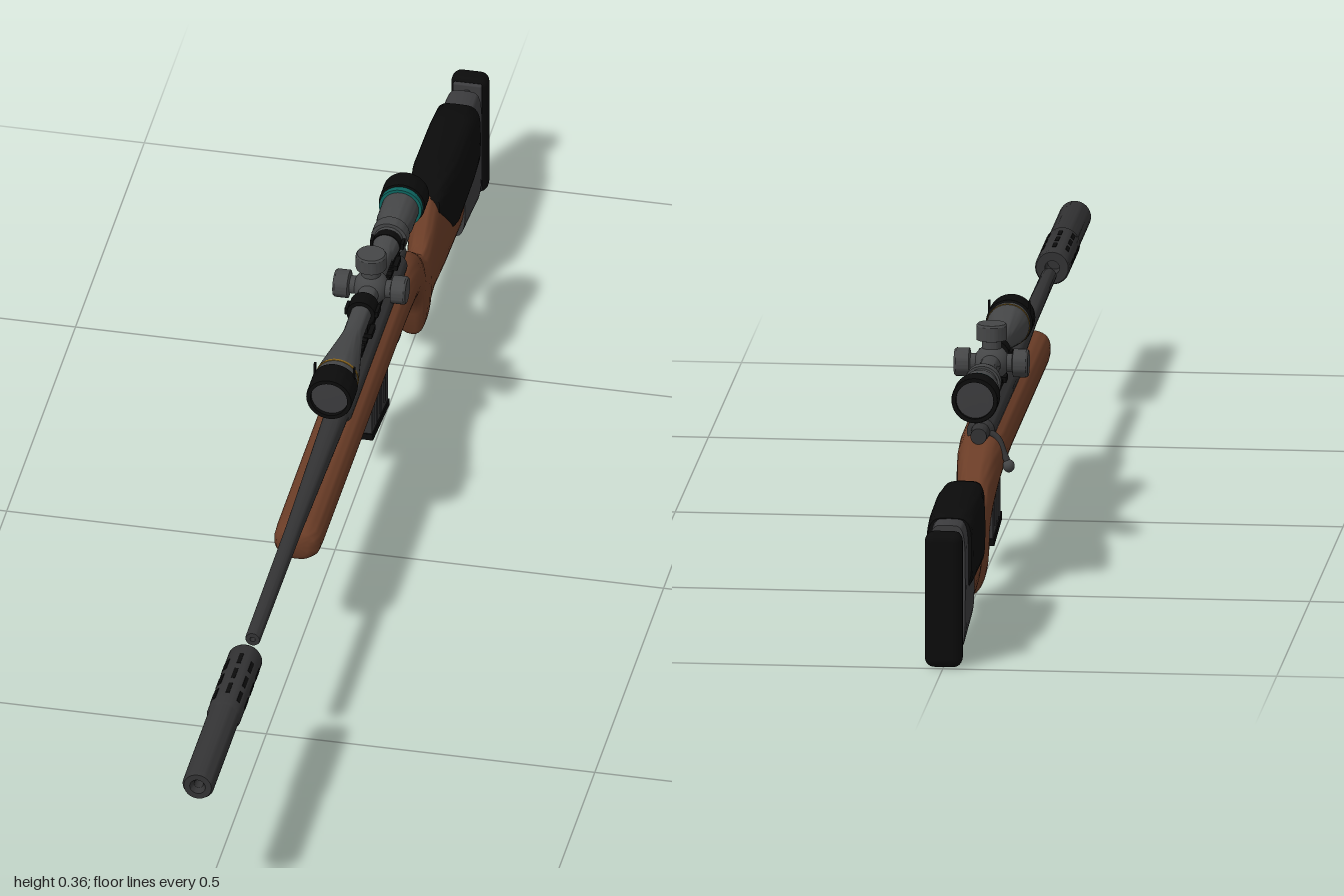
import * as THREE from 'three';
import { toCreasedNormals } from 'three/addons/utils/BufferGeometryUtils.js';
import { RoundedBoxGeometry } from 'three/addons/geometries/RoundedBoxGeometry.js';

const mat = (name, color) => Object.assign(new THREE.MeshStandardMaterial({ color }), { name });
const wood = mat('walnut wood', 0x6b3d27);
const black = mat('black rubber', 0x0b0b0b);
const steel = mat('dark steel', 0x333334);
const grey = mat('scope grey', 0x454647);
const polymer = mat('grey polymer', 0x3c3c3e);
const teal = mat('teal ring', 0x0d6560);
const gold = mat('gold ring', 0x8a651c);

// Closed loft along z; each station is [z, bottom, top, half width]
function loft(stations, power, n = 32) {
  const pos = [], idx = [], last = stations.length - 1;
  const sp = v => Math.sign(v) * Math.pow(Math.abs(v), 2 / power);
  for (const [z, b, t, w] of stations) {
    for (let j = 0; j < n; j++) {
      const a = j / n * Math.PI * 2;
      pos.push(w * sp(Math.cos(a)), (b + t) / 2 + (t - b) / 2 * sp(Math.sin(a)), z);
    }
  }
  for (let i = 0; i < last; i++) {
    for (let j = 0; j < n; j++) {
      const a = i * n + j, b = i * n + (j + 1) % n;
      idx.push(a, a + n, b, b, a + n, b + n);
    }
  }
  for (const i of [0, last]) {
    const [z, b, t] = stations[i], c = pos.length / 3;
    pos.push(0, (b + t) / 2, z);
    for (let j = 0; j < n; j++) {
      const p = i * n + j, q = i * n + (j + 1) % n;
      if (i === 0) idx.push(c, p, q); else idx.push(c, q, p);
    }
  }
  const g = new THREE.BufferGeometry();
  g.setAttribute('position', new THREE.Float32BufferAttribute(pos, 3));
  g.setIndex(idx);
  return toCreasedNormals(g, 0.8);
}

// Turned part along z; profile is [radius, z] from back to front
function turned(profile, n = 32) {
  const g = new THREE.LatheGeometry(profile.map(([r, z]) => new THREE.Vector2(r, z)), n);
  return toCreasedNormals(g.rotateX(Math.PI / 2), 0.5);
}

export function createModel() {
  const root = new THREE.Group();
  root.name = 'rifle';
  const add = (name, geo, m, x = 0, y = 0, z = 0, parent = root) => {
    const mesh = new THREE.Mesh(geo, m);
    mesh.name = name;
    mesh.position.set(x, y, z);
    parent.add(mesh);
    return mesh;
  };
  const box = (name, m, w, h, d, x, y, z, parent) =>
    add(name, new THREE.BoxGeometry(w, h, d), m, x, y, z, parent);

  // Wooden stock with fore-end, pistol grip and butt
  add('stock', loft([
    [0.292, 0.182, 0.216, 0.02], [0.288, 0.175, 0.223, 0.029], [0.275, 0.17, 0.227, 0.035],
    [0.25, 0.169, 0.228, 0.036], [-0.3, 0.167, 0.23, 0.036], [-0.38, 0.163, 0.23, 0.036],
    [-0.44, 0.15, 0.227, 0.034], [-0.48, 0.132, 0.215, 0.031], [-0.51, 0.112, 0.2, 0.028],
    [-0.53, 0.09, 0.186, 0.026], [-0.541, 0.065, 0.176, 0.025], [-0.547, 0.03, 0.168, 0.025],
    [-0.553, 0.022, 0.163, 0.025], [-0.575, 0.02, 0.147, 0.024], [-0.595, 0.021, 0.138, 0.022],
    [-0.61, 0.025, 0.146, 0.02], [-0.63, 0.036, 0.17, 0.022], [-0.645, 0.039, 0.192, 0.024],
    [-0.66, 0.039, 0.204, 0.026], [-0.7, 0.038, 0.204, 0.028], [-0.81, 0.03, 0.204, 0.028],
  ], 2.6), wood);

  // Rear section, cheek rest and adjustable pad
  add('stockRear', loft([
    [-0.81, 0.029, 0.204, 0.0285], [-0.87, 0.02, 0.206, 0.0285],
    [-0.925, 0.011, 0.206, 0.0285], [-0.937, 0.01, 0.205, 0.0275],
  ], 5), polymer);
  add('cheekRest', loft([
    [-0.655, 0.17, 0.198, 0.022], [-0.665, 0.158, 0.211, 0.027], [-0.69, 0.132, 0.216, 0.032],
    [-0.725, 0.098, 0.217, 0.036], [-0.74, 0.094, 0.217, 0.038], [-0.85, 0.094, 0.214, 0.037],
    [-0.892, 0.094, 0.211, 0.035], [-0.897, 0.098, 0.207, 0.033],
  ], 4), black);
  add('buttPad', new RoundedBoxGeometry(0.056, 0.206, 0.034, 4, 0.014), black, 0, 0.103, -0.983);
  add('buttPlate', new RoundedBoxGeometry(0.044, 0.19, 0.008, 2, 0.003), polymer, 0, 0.106, -0.963);
  for (const y of [0.045, 0.13, 0.185])
    add('padRod', turned([[0, -0.97], [0.007, -0.97], [0.007, -0.93], [0, -0.93]], 16), steel, 0, y, 0);

  // Barrel, receiver and bolt
  add('barrel', turned([[0, -0.02], [0.018, -0.02], [0.017, 0.04], [0.0125, 0.3],
    [0.0115, 0.598], [0.0105, 0.6], [0.004, 0.6], [0.004, 0.57], [0, 0.57]]), steel, 0, 0.236, 0);
  add('receiver', turned([[0, -0.462], [0.012, -0.462], [0.014, -0.43], [0.021, -0.425],
    [0.021, -0.02], [0.018, -0.01], [0, -0.01]]), steel, 0, 0.232, 0);
  box('rail', black, 0.02, 0.009, 0.28, 0, 0.255, -0.285);
  for (let i = 0; i < 14; i++) box('railTooth', black, 0.024, 0.004, 0.01, 0, 0.261, -0.155 - i * 0.02);
  const handle = new THREE.CatmullRomCurve3([[-0.012, 0.232, -0.425], [-0.026, 0.222, -0.428],
    [-0.036, 0.2, -0.434], [-0.042, 0.187, -0.438]].map(p => new THREE.Vector3(...p)));
  add('boltHandle', new THREE.TubeGeometry(handle, 12, 0.005, 10), steel);
  const knob = add('boltKnob', new THREE.SphereGeometry(0.009, 16, 12), grey, -0.043, 0.183, -0.438);
  knob.scale.set(1, 1.1, 1);

  // Trigger and guard
  box('floorPlate', black, 0.022, 0.012, 0.28, 0, 0.165, -0.24);
  const guard = new THREE.CatmullRomCurve3([[-0.365, 0.168], [-0.378, 0.128], [-0.4, 0.106],
    [-0.43, 0.102], [-0.455, 0.115], [-0.468, 0.145]].map(([z, y]) => new THREE.Vector3(0, y, z)));
  add('triggerGuard', new THREE.TubeGeometry(guard, 28, 0.005, 10), steel).scale.x = 2;
  const trig = new THREE.CatmullRomCurve3([[-0.413, 0.162], [-0.422, 0.142], [-0.418, 0.118]]
    .map(([z, y]) => new THREE.Vector3(0, y, z)));
  add('trigger', new THREE.TubeGeometry(trig, 10, 0.004, 8), steel);

  // Detached magazine: slanted side profile extruded across x
  const side = (pts, w) => {
    const g = new THREE.ExtrudeGeometry(new THREE.Shape(pts.map(([z, y]) => new THREE.Vector2(-z, y))),
      { depth: w, bevelEnabled: false });
    return g.translate(0, 0, -w / 2).rotateY(Math.PI / 2);
  };
  add('magazine', side([[-0.222, 0.062], [-0.338, 0.048], [-0.338, 0.125], [-0.287, 0.125],
    [-0.283, 0.118], [-0.222, 0.118]], 0.019), steel);
  add('magazineBase', side([[-0.22, 0.052], [-0.34, 0.037], [-0.34, 0.048], [-0.22, 0.063]], 0.023), black);
  for (const x of [-0.01, 0.01])
    for (const z of [-0.25, -0.28, -0.31]) box('magazineRib', steel, 0.003, 0.05, 0.008, x, 0.088, z);

  // Detached suppressor with slotted rear sleeve
  const sup = new THREE.Group();
  sup.name = 'suppressor';
  sup.position.y = 0.236;
  root.add(sup);
  add('suppressorBody', turned([[0, 0.69], [0.011, 0.69], [0.011, 0.65], [0.024, 0.65], [0.026, 0.654],
    [0.026, 0.808], [0.024, 0.812], [0.024, 0.994], [0.021, 1], [0.012, 1], [0.007, 0.992],
    [0.007, 0.96], [0, 0.96]]), steel, 0, 0, 0, sup);
  for (let i = 0; i < 8; i++) {
    const spoke = new THREE.Group();
    spoke.rotation.z = i * Math.PI / 4;
    sup.add(spoke);
    for (const z of [0.69, 0.73, 0.77])
      box('sleeveSlot', black, 0.006, 0.002, 0.026, 0, 0.0256, z + (i % 2) * 0.01, spoke);
  }

  // Scope
  const scope = new THREE.Group();
  scope.name = 'scope';
  scope.position.y = 0.3;
  root.add(scope);
  const part = (name, profile, m) => add(name, turned(profile, 40), m, 0, 0, 0, scope);
  part('scopeTube', [[0, -0.49], [0.028, -0.49], [0.028, -0.435], [0.025, -0.42], [0.018, -0.35],
    [0.0155, -0.345], [0.0155, -0.13], [0.019, -0.105], [0.03, -0.035], [0.032, -0.02], [0.032, 0.01],
    [0, 0.01]], grey);
  part('objectiveCap', [[0.032, 0], [0.035, 0.002], [0.035, 0.043], [0.034, 0.046], [0.028, 0.046],
    [0.028, 0.038]], black);
  part('objectiveLens', [[0.031, 0.039], [0, 0.04]], polymer);
  part('eyepieceCap', [[0.028, -0.513], [0.028, -0.52], [0.034, -0.52], [0.035, -0.517],
    [0.035, -0.485], [0.028, -0.483]], black);
  part('eyepieceLens', [[0, -0.512], [0.03, -0.511]], polymer);
  part('tealRing', [[0.028, -0.483], [0.0325, -0.483], [0.0325, -0.474], [0.028, -0.474]], teal);
  part('goldRing', [[0.031, -0.016], [0.0328, -0.016], [0.0328, -0.012], [0.031, -0.012]], gold);
  part('zoomRing', [[0.02, -0.41], [0.0275, -0.41], [0.0275, -0.39], [0.02, -0.39]], grey);
  for (const x of [-0.03, 0.03]) box('capLatch', black, 0.003, 0.02, 0.006, x, 0.024, 0.004, scope);

  // Adjustment turrets on the top, left and right
  add('turretBlock', new THREE.SphereGeometry(0.027, 24, 16), grey, 0, 0, -0.262, scope);
  const turret = turned([[0.014, 0.012], [0.014, 0.032], [0.022, 0.034], [0.022, 0.054],
    [0.02, 0.057], [0, 0.057]], 24);
  const turrets = [['topTurret', -Math.PI / 2, 0, 1.05], ['leftTurret', 0, Math.PI / 2, 0.97],
    ['rightTurret', 0, -Math.PI / 2, 0.97]];
  for (const [name, rx, ry, s] of turrets) {
    const t = add(name, turret, grey, 0, 0, -0.262, scope);
    t.rotation.set(rx, ry, 0);
    t.scale.setScalar(s);
  }

  // Mounting rings and their feet
  for (const z of [-0.2, -0.385]) {
    part('mountRing', [[0.015, z - 0.014], [0.0215, z - 0.014], [0.0215, z + 0.014], [0.015, z + 0.014]], black);
    box('mountFoot', black, 0.02, 0.026, 0.026, 0, -0.028, z, scope);
    box('mountClamp', black, 0.034, 0.008, 0.028, 0, -0.038, z, scope);
    for (const x of [-0.021, 0.021]) box('ringScrewLug', black, 0.009, 0.01, 0.022, x, 0, z, scope);
  }
  return root;
}
